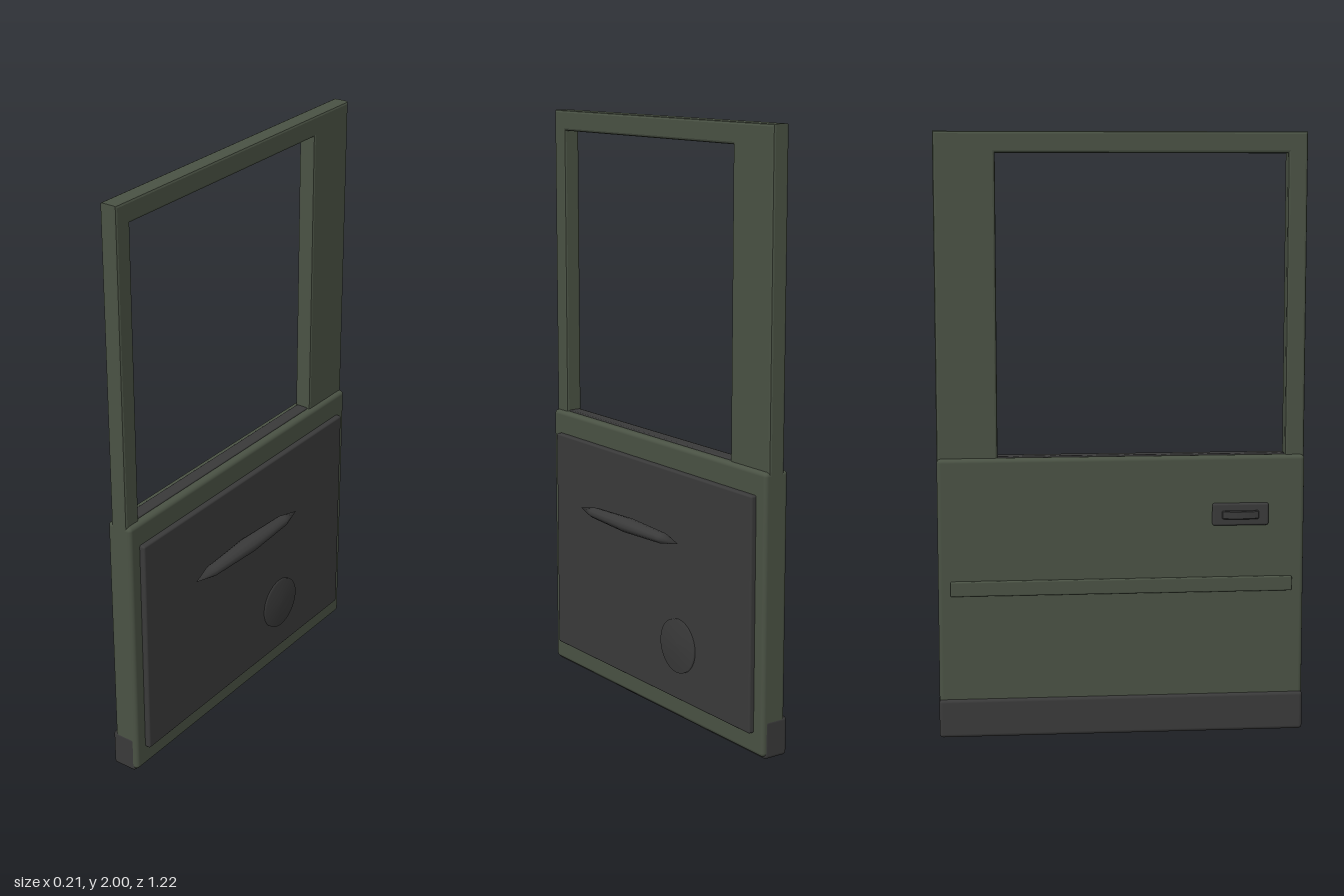
import * as THREE from 'three';
import { RoundedBoxGeometry } from 'three/addons/geometries/RoundedBoxGeometry.js';

export function createModel() {
  const model = new THREE.Group();
  model.name = 'vehicleDoor';

  const paint = new THREE.MeshStandardMaterial({ color: 0x4a5244 });
  paint.name = 'olive paint';
  const plastic = new THREE.MeshStandardMaterial({ color: 0x3a3a3a });
  plastic.name = 'dark grey plastic';

  const add = (name, geometry, material) => {
    const mesh = new THREE.Mesh(geometry, material);
    mesh.name = name;
    model.add(mesh);
    return mesh;
  };

  // Rounded box given by its limits on each axis
  const block = (name, material, [x0, x1], [y0, y1], [z0, z1], radius) => {
    const geometry = new RoundedBoxGeometry(x1 - x0, y1 - y0, z1 - z0, 2, radius);
    geometry.translate((x0 + x1) / 2, (y0 + y1) / 2, (z0 + z1) / 2);
    return add(name, geometry, material);
  };

  // Outline in (z, y), extruded along x between x0 and x1
  const plateAlongX = (name, material, points, x0, x1, bevel) => {
    const shape = new THREE.Shape(points.map(([z, y]) => new THREE.Vector2(z, y)));
    const geometry = new THREE.ExtrudeGeometry(shape, {
      depth: x1 - x0 - 2 * bevel,
      bevelThickness: bevel, bevelSize: bevel, bevelOffset: -bevel, bevelSegments: 2,
    });
    geometry.rotateY(-Math.PI / 2);
    geometry.translate(x1 - bevel, 0, 0);
    return add(name, geometry, material);
  };

  // Lower door body and the window frame standing in it
  block('doorBody', paint, [-0.075, 0.016], [0.008, 0.938], [-0.61, 0.61], 0.014);
  plateAlongX('windowFrame', paint, [
    [-0.61, 0.9], [-0.41, 0.9], [-0.41, 1.93], [0.545, 1.93],
    [0.545, 0.9], [0.61, 0.9], [0.61, 2], [-0.61, 2],
  ], -0.059, 0, 0.008);
  block('windowSeal', plastic, [-0.052, -0.008], [0.925, 0.943], [-0.41, 0.545], 0.004);

  // Inner trim with armrest and speaker
  block('innerTrim', plastic, [0.01, 0.035], [0.08, 0.86], [-0.565, 0.565], 0.007);
  const armrest = new THREE.SphereGeometry(1, 12, 4);
  armrest.rotateX(Math.PI / 2);
  armrest.scale(0.032, 0.025, 0.288);
  armrest.translate(0.072, 0.636, 0.059);
  add('armrest', armrest, plastic);

  const speaker = new THREE.LatheGeometry([
    new THREE.Vector2(0.092, 0), new THREE.Vector2(0.092, 0.011), new THREE.Vector2(0, 0.013),
  ], 32);
  speaker.rotateZ(-Math.PI / 2);
  speaker.translate(0.033, 0.27, -0.184);
  add('speaker', speaker, plastic);

  // Outer side: sill guard, rub strip and handle
  block('sillGuard', plastic, [-0.084, 0.006], [0, 0.13], [-0.611, 0.611], 0.012);
  block('rubStrip', paint, [-0.085, -0.07], [0.48, 0.53], [-0.57, 0.57], 0.005);
  block('handlePlate', plastic, [-0.089, -0.07], [0.705, 0.78], [0.3, 0.488], 0.007);

  // Grip bulges outwards in the middle
  const gripShape = new THREE.Shape();
  gripShape.moveTo(-0.085, 0.33);
  gripShape.lineTo(-0.096, 0.333);
  gripShape.quadraticCurveTo(-0.114, 0.393, -0.096, 0.453);
  gripShape.lineTo(-0.085, 0.456);
  const grip = new THREE.ExtrudeGeometry(gripShape, {
    depth: 0.022, bevelThickness: 0.003, bevelSize: 0.003, bevelOffset: -0.003,
    bevelSegments: 1, curveSegments: 10,
  });
  grip.rotateX(Math.PI / 2);
  grip.translate(0, 0.753, 0);
  add('handleGrip', grip, plastic);

  return model;
}
